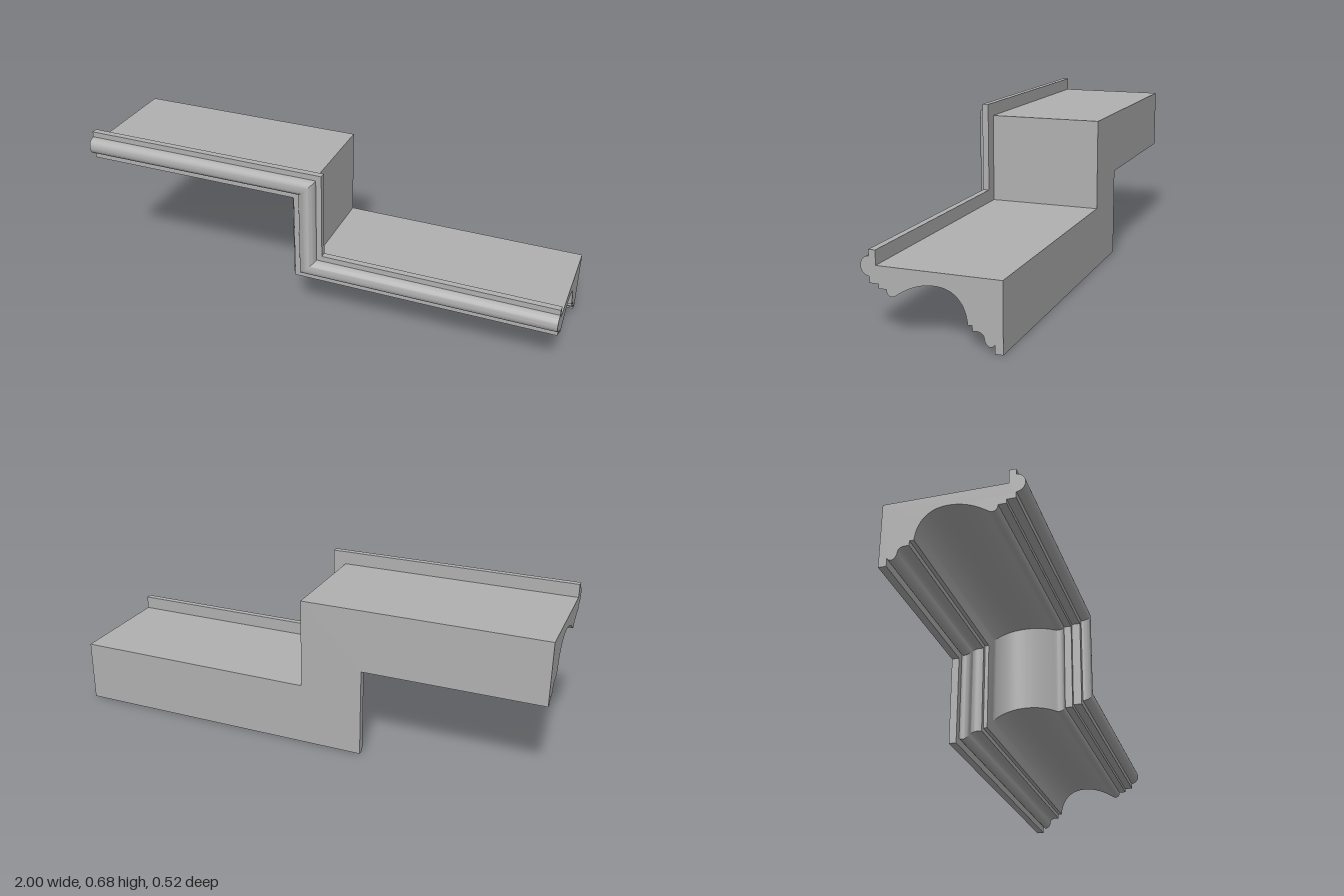
import * as THREE from 'three';
import { toCreasedNormals } from 'three/addons/utils/BufferGeometryUtils.js';

// Moulding cross-section: x is depth towards the back, y is height above the lower edge
function mouldingProfile() {
  const s = new THREE.Shape();
  s.moveTo(0.261, 0);
  s.lineTo(0.261, 0.256);
  // flat top and raised front lip
  s.lineTo(-0.203, 0.256);
  s.lineTo(-0.203, 0.31);
  s.lineTo(-0.229, 0.31);
  s.lineTo(-0.229, 0.287);
  // half-round nosing
  s.bezierCurveTo(-0.247, 0.287, -0.262, 0.271, -0.262, 0.251);
  s.bezierCurveTo(-0.262, 0.231, -0.247, 0.215, -0.229, 0.215);
  // small steps under the nosing
  s.lineTo(-0.229, 0.191);
  s.lineTo(-0.195, 0.191);
  s.lineTo(-0.195, 0.175);
  s.lineTo(-0.165, 0.175);
  // front bead running into the cove
  s.bezierCurveTo(-0.165, 0.152, -0.148, 0.146, -0.132, 0.155);
  s.bezierCurveTo(-0.09, 0.185, -0.04, 0.209, 0.016, 0.208);
  s.bezierCurveTo(0.085, 0.208, 0.128, 0.165, 0.135, 0.088);
  s.lineTo(0.151, 0.088);
  s.lineTo(0.151, 0.068);
  // lower ogee and foot
  s.bezierCurveTo(0.175, 0.074, 0.194, 0.066, 0.194, 0.045);
  s.bezierCurveTo(0.2, 0.02, 0.219, 0.014, 0.231, 0.031);
  s.lineTo(0.231, 0);
  s.closePath();
  return s;
}

export function createModel() {
  const group = new THREE.Group();
  group.name = 'steppedMoulding';
  const grey = new THREE.MeshStandardMaterial({ color: 0xb0b0b0 });
  grey.name = 'stone grey';

  const rise = 0.367; // height difference between the two runs
  const cornerX = -0.275; // outer face of the upright run
  // Mitred path: upper run, upright run, lower run, each offset by height d in the profile
  const stations = [
    (d) => [-1, rise + d],
    (d) => [cornerX + d, rise + d],
    (d) => [cornerX + d, d],
    (d) => [1, d],
  ];

  const geometry = new THREE.ExtrudeGeometry(mouldingProfile(), {
    depth: 3, steps: 3, bevelEnabled: false, curveSegments: 14,
  });
  const p = geometry.attributes.position;
  for (let i = 0; i < p.count; i++) {
    const [x, y] = stations[Math.round(p.getZ(i))](p.getY(i));
    p.setXYZ(i, x, y, -p.getX(i));
  }
  geometry.clearGroups();

  const moulding = new THREE.Mesh(toCreasedNormals(geometry, Math.PI / 6), grey);
  moulding.name = 'moulding';
  group.add(moulding);
  return group;
}
